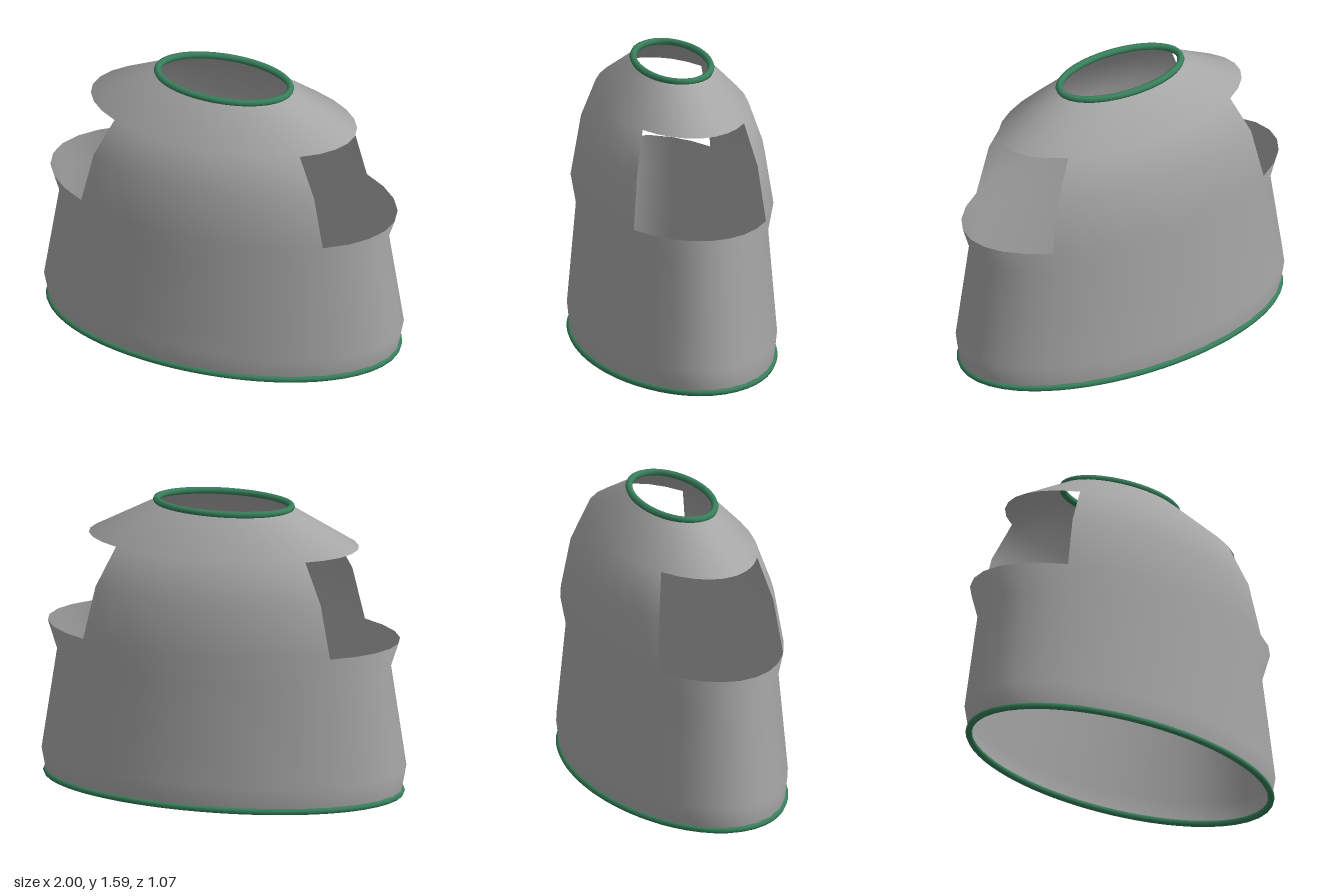
import * as THREE from 'three';

const DEPTH = 0.53;      // depth of the oval compared with its width
const SEGMENTS = 32;

// Half width and height, from hem to neck
const PROFILE = [
  [0.975, 0.018], [1.0, 0.15], [0.915, 0.71], [0.965, 0.865],
  [0.88, 1.155], [0.74, 1.37], [0.37, 1.572],
];
const ARMHOLE_BANDS = [3, 4];   // profile bands cut open at the sides

// Oval shell with an armhole cut out of each side
function shellGeometry() {
  const points = PROFILE.map(([r, y]) => new THREE.Vector2(r, y));
  const geometry = new THREE.LatheGeometry(points, SEGMENTS);
  const source = geometry.getIndex().array;
  const bands = points.length - 1;
  const kept = [];
  for (let i = 0; i < SEGMENTS; i++) {
    const angle = ((i + 0.5) / SEGMENTS) * Math.PI * 2;
    const atSide = Math.abs(Math.sin(angle)) > Math.SQRT1_2;
    for (let j = 0; j < bands; j++) {
      if (atSide && ARMHOLE_BANDS.includes(j)) continue;
      const start = (i * bands + j) * 6;
      kept.push(...source.slice(start, start + 6));
    }
  }
  geometry.setIndex(kept);
  geometry.scale(1, 1, DEPTH);
  return geometry;
}

// Closed oval curve lying flat at a height
class OvalCurve extends THREE.Curve {
  constructor(radius, y) {
    super();
    this.radius = radius;
    this.y = y;
  }
  getPoint(t, target = new THREE.Vector3()) {
    const a = t * Math.PI * 2;
    return target.set(Math.sin(a) * this.radius, this.y, Math.cos(a) * this.radius * DEPTH);
  }
}

export function createModel() {
  const group = new THREE.Group();
  group.name = 'vest';

  const cloth = new THREE.MeshStandardMaterial({ color: 0xa6a6a6, side: THREE.DoubleSide });
  cloth.name = 'grey cloth';
  const trim = new THREE.MeshStandardMaterial({ color: 0x38805c });
  trim.name = 'green trim';

  const body = new THREE.Mesh(shellGeometry(), cloth);
  body.name = 'vestBody';
  group.add(body);

  // Piping around the hem and the neck
  const addTrim = (name, radius, y, tube) => {
    const mesh = new THREE.Mesh(
      new THREE.TubeGeometry(new OvalCurve(radius, y), 64, tube, 8, true), trim);
    mesh.name = name;
    group.add(mesh);
  };
  addTrim('hemTrim', 0.972, 0.018, 0.018);
  addTrim('neckTrim', 0.37, 1.574, 0.019);

  return group;
}
